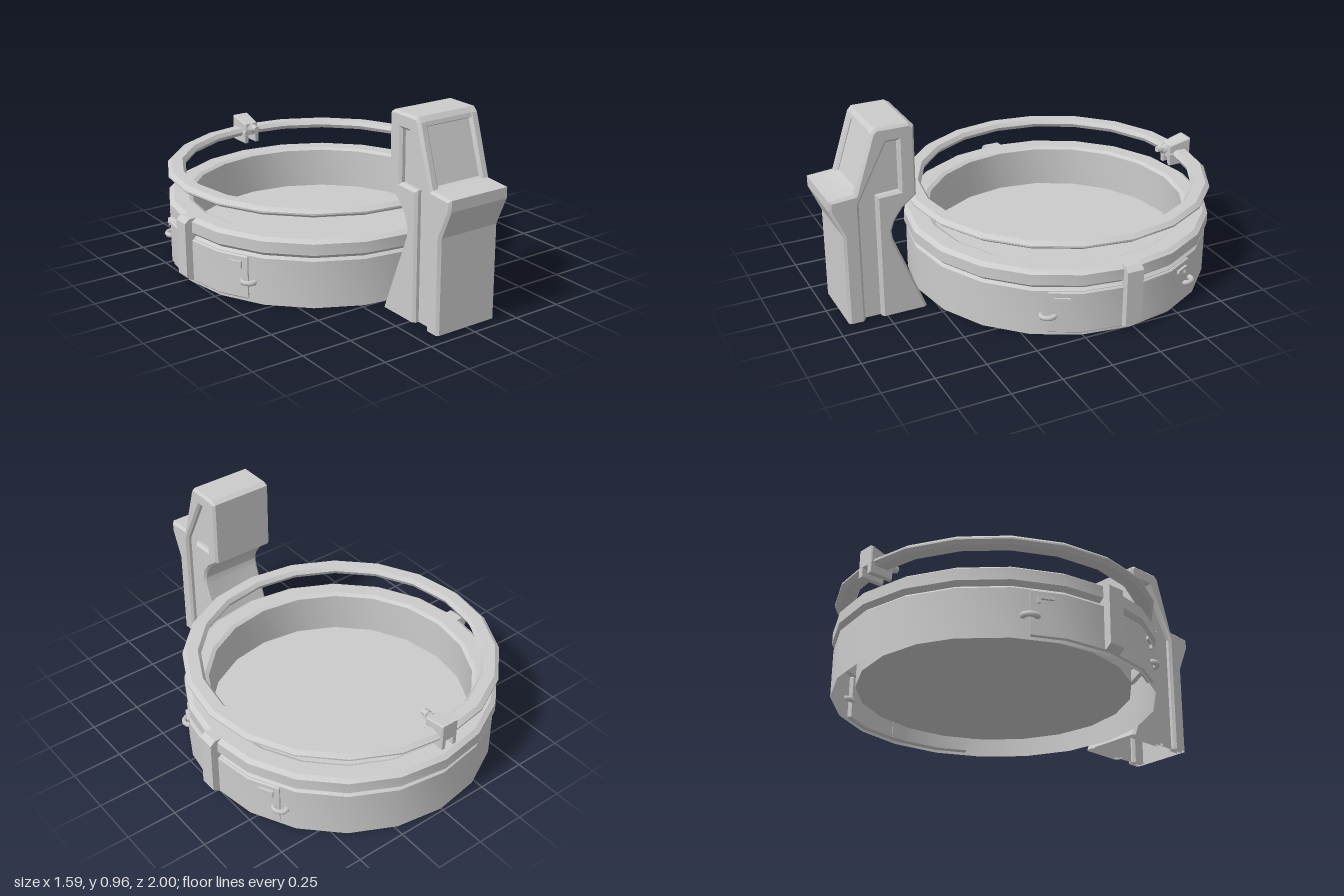
import * as THREE from 'three';
import { toCreasedNormals } from 'three/addons/utils/BufferGeometryUtils.js';

const MAT = new THREE.MeshStandardMaterial({ color: 0xcccccc, side: THREE.DoubleSide });
const SIDES = 20;
const CENTRE_Z = -0.23;

function part(parent, name, geometry, x = 0, y = 0, z = 0) {
  const mesh = new THREE.Mesh(geometry, MAT);
  mesh.name = name;
  mesh.position.set(x, y, z);
  parent.add(mesh);
  return mesh;
}

const vectors = (pts) => pts.map(([a, b]) => new THREE.Vector2(a, b));

const ringOf = (pts) => toCreasedNormals(new THREE.LatheGeometry(vectors(pts), SIDES), 0.36);

// Centred extrusion with a chamfer that stays inside the outline
function slab(pts, thickness, chamfer = 0) {
  const depth = thickness - 2 * chamfer;
  const g = new THREE.ExtrudeGeometry(new THREE.Shape(vectors(pts)), {
    depth, bevelEnabled: chamfer > 0, bevelThickness: chamfer, bevelSize: chamfer,
    bevelOffset: -chamfer, bevelSegments: 1,
  });
  return g.translate(0, 0, -depth / 2);
}

// Side profile given as [z, y], extruded across x
const profileSlab = (pts, thickness, chamfer) => slab(pts, thickness, chamfer).rotateY(-Math.PI / 2);

// Flatten the foot to y = 0 and leave it open underneath
function openBottom(geometry) {
  const pos = geometry.attributes.position;
  const kept = [];
  for (let i = 0; i < pos.count; i += 3) {
    const corners = [i, i + 1, i + 2].map((j) => {
      const v = new THREE.Vector3().fromBufferAttribute(pos, j);
      if (v.y < 0.02) v.y = 0;
      return v;
    });
    if (corners.some((v) => v.y > 0)) corners.forEach((v) => kept.push(v));
  }
  return toCreasedNormals(new THREE.BufferGeometry().setFromPoints(kept), 0.37);
}

// Point on the faceted wall at an angle from +x
function wallPoint(radius, degrees) {
  const step = 360 / SIDES;
  const off = ((degrees % step) + step) % step - step / 2;
  const rad = THREE.MathUtils.degToRad;
  const r = radius * Math.cos(rad(step / 2)) / Math.cos(rad(off));
  return [r * Math.cos(rad(degrees)), r * Math.sin(rad(degrees))];
}

function buildBasin() {
  const basin = new THREE.Group();
  basin.name = 'basin';
  part(basin, 'basinWall', ringOf([
    [0.756, 0], [0.756, 0.232], [0.742, 0.245], [0.765, 0.265], [0.765, 0.32],
    [0.742, 0.336], [0.665, 0.336], [0.645, 0.325], [0.645, 0.055],
  ]));
  part(basin, 'basinFloor', ringOf([[0.645, 0.118], [0, 0.118]]));
  part(basin, 'basinUnderside', ringOf([[0, 0.055], [0.645, 0.055]]));
  part(basin, 'hoop', ringOf([
    [0.69, 0.485], [0.675, 0.465], [0.685, 0.445], [0.745, 0.445],
    [0.765, 0.46], [0.765, 0.468], [0.745, 0.485], [0.69, 0.485],
  ]));
  return basin;
}

// Curved panel, strap, links and latches on the +x side
function buildSideFittings() {
  const side = new THREE.Group();
  side.name = 'sideFittings';
  const angles = [-30, -18, 0, 18, 30];
  const outline = [
    ...angles.map((a) => wallPoint(0.766, a)),
    ...angles.slice().reverse().map((a) => wallPoint(0.735, a)),
  ];
  const panel = slab(outline, 0.215, 0.006).rotateX(Math.PI / 2);
  part(side, 'sidePanel', toCreasedNormals(panel, 0.36), 0, 0.122, 0);
  part(side, 'strap', slab([
    [0.725, 0.02], [0.768, 0.02], [0.795, 0.04], [0.795, 0.315], [0.77, 0.336], [0.725, 0.336],
  ], 0.085));
  for (const s of [-1, 1]) {
    // Link gripping the end of the panel
    const [x, z] = wallPoint(0.762, 30 * s);
    const link = part(side, 'link', new THREE.TorusGeometry(0.028, 0.013, 6, 12), x, 0.105, z);
    link.geometry.rotateX(Math.PI / 2).scale(0.9, 1, 1.15);
    link.rotation.y = THREE.MathUtils.degToRad(-27 * s);
    // L-shaped latch
    const [lx, lz] = wallPoint(0.772, 25 * s);
    const latch = new THREE.Group();
    latch.name = 'latch';
    latch.position.set(lx, 0.19, lz);
    latch.rotation.y = THREE.MathUtils.degToRad(-27 * s);
    part(latch, 'latchBar', new THREE.BoxGeometry(0.012, 0.016, 0.075), 0, 0.004, 0);
    part(latch, 'latchHook', new THREE.BoxGeometry(0.012, 0.036, 0.014), 0, -0.006, 0.03 * s);
    side.add(latch);
  }
  return side;
}

// Clip and nozzle at the back of the hoop
function buildClip() {
  const clip = new THREE.Group();
  clip.name = 'clip';
  const body = profileSlab([
    [-1, 0.45], [-1, 0.54], [-0.985, 0.54], [-0.88, 0.513], [-0.875, 0.45],
  ], 0.094, 0.006);
  // Narrow the body towards its nose
  const pos = body.attributes.position;
  for (let i = 0; i < pos.count; i++) pos.setX(i, pos.getX(i) * (1 - 1.6 * (pos.getZ(i) + 1)));
  part(clip, 'clipBody', toCreasedNormals(body, 0.1));
  for (const s of [-1, 1]) {
    part(clip, 'clipLeg', profileSlab([
      [-1, 0.405], [-1, 0.47], [-0.875, 0.47], [-0.88, 0.405],
    ], 0.026, 0.004), s * 0.032);
  }
  part(clip, 'nozzleBase', new THREE.CylinderGeometry(0.018, 0.036, 0.04, 4).rotateX(Math.PI / 2), 0, 0.487, -0.868);
  part(clip, 'nozzle', new THREE.CylinderGeometry(0.016, 0.02, 0.035, 8).rotateX(Math.PI / 2), 0, 0.492, -0.84);
  return clip;
}

// Upright console with a recessed screen and channelled cheeks
function buildConsole() {
  const unit = new THREE.Group();
  unit.name = 'console';
  const back = [
    [0.765, 0.962], [0.605, 0.962], [0.58, 0.947], [0.58, 0.6], [0.65, 0.545], [0.69, 0.49],
    [0.707, 0.44], [0.703, 0.4], [0.545, 0],
  ];
  const front = [[0.94, 0], [0.94, 0.46], [1, 0.598], [1, 0.65], [0.874, 0.66]];
  const screen = [[0.855, 0.668], [0.775, 0.915], [0.787, 0.922]];
  part(unit, 'consoleCore', openBottom(profileSlab([...front, ...screen, [0.782, 0.94], ...back], 0.28)));
  const channel = [
    [0.775, 0], [0.775, 0.632], [0.66, 0.638], [0.66, 0.887], [0.715, 0.887], [0.858, 0.61], [0.858, 0],
  ];
  for (const s of [-1, 1]) {
    part(unit, 'consoleCheek', openBottom(
      profileSlab([...front, [0.785, 0.94], ...back, ...channel], 0.05, 0.012)), s * 0.143);
  }
  return unit;
}

export function createModel() {
  const model = new THREE.Group();
  model.name = 'basinWithConsole';
  const basin = buildBasin();
  for (const turn of [0, Math.PI]) {
    const side = buildSideFittings();
    side.rotation.y = turn;
    basin.add(side);
  }
  basin.position.z = CENTRE_Z;
  model.add(basin, buildClip(), buildConsole());
  return model;
}
